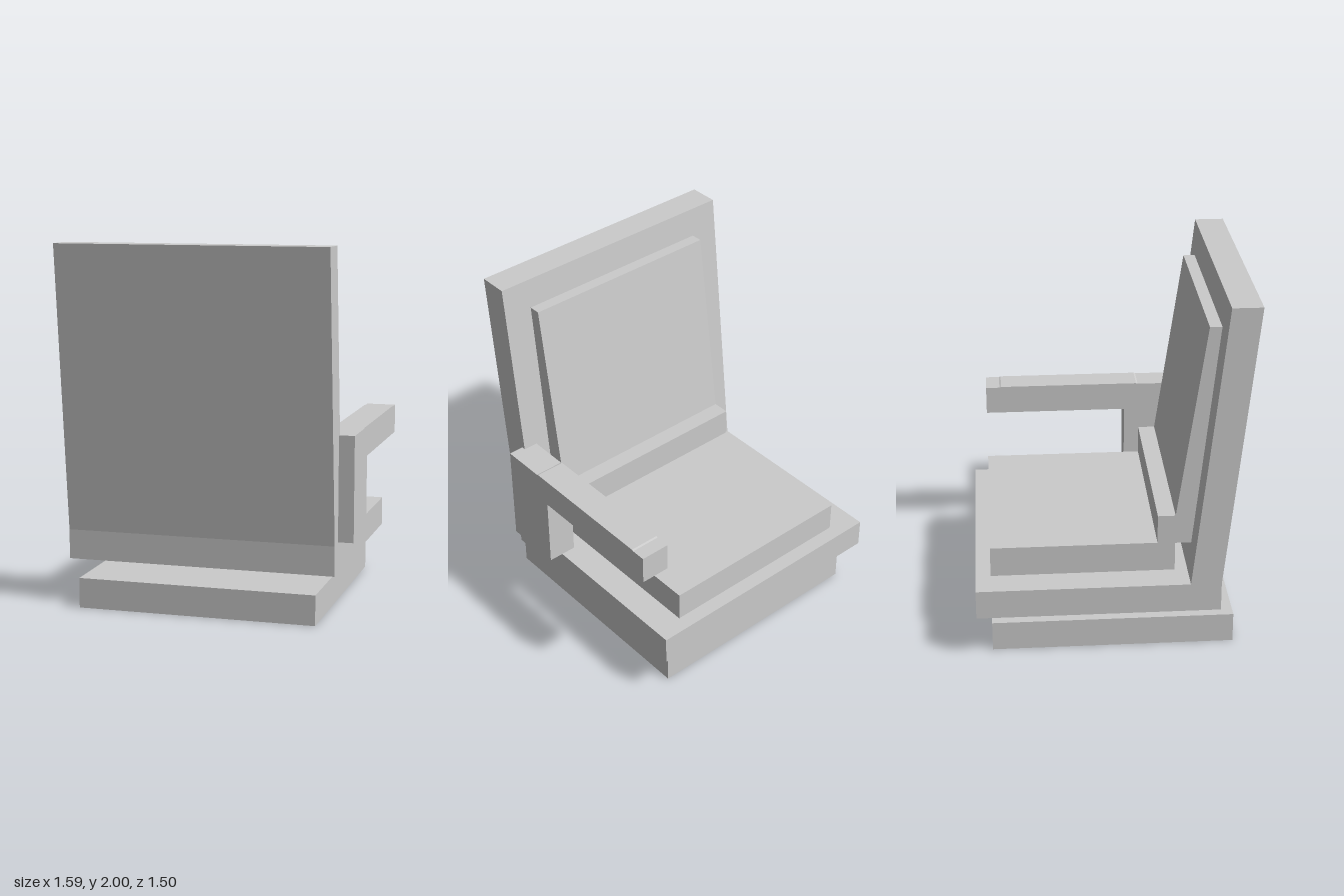
import * as THREE from 'three';

const material = new THREE.MeshStandardMaterial({ color: 0xcccccc, flatShading: true });

// Side profile given as [z, y] points, extruded across the width from x0 to x1.
function profilePart(name, points, x0, x1) {
  const shape = new THREE.Shape(points.map(([z, y]) => new THREE.Vector2(z, y)));
  const geometry = new THREE.ExtrudeGeometry(shape, { depth: x1 - x0, bevelEnabled: false });
  geometry.rotateY(-Math.PI / 2).translate(x1, 0, 0);
  const mesh = new THREE.Mesh(geometry, material);
  mesh.name = name;
  return mesh;
}

function boxPart(name, [x0, x1], [y0, y1], [z0, z1]) {
  const geometry = new THREE.BoxGeometry(x1 - x0, y1 - y0, z1 - z0);
  const mesh = new THREE.Mesh(geometry, material);
  mesh.position.set((x0 + x1) / 2, (y0 + y1) / 2, (z0 + z1) / 2);
  mesh.name = name;
  return mesh;
}

export function createModel() {
  const chair = new THREE.Group();
  chair.name = 'chair';

  // Floor plinth and the short post carrying the seat
  chair.add(boxPart('base', [-0.708, 0.622], [0, 0.167], [-0.665, 0.667]));
  chair.add(boxPart('post', [-0.292, 0.208], [0.167, 0.253], [-0.248, 0.25]));

  // Seat slab and leaning backrest in one L-shaped shell
  chair.add(profilePart('seatAndBackShell', [
    [-0.748, 0.253], [0.583, 0.253], [0.583, 0.417], [0.75, 2],
    [0.587, 2], [0.415, 0.417], [-0.748, 0.417],
  ], -0.795, 0.705));

  // Seat cushion, lumbar step and back cushion
  chair.add(profilePart('cushion', [
    [-0.665, 0.417], [0.345, 0.417], [0.345, 0.583], [0.433, 0.583],
    [0.567, 1.837], [0.502, 1.837], [0.345, 0.75], [0.248, 0.75],
    [0.248, 0.587], [-0.665, 0.587],
  ], -0.625, 0.54));

  // Single armrest: rear upright with a forward-reaching arm
  chair.add(profilePart('armrest', [
    [0.502, 0.422], [0.502, 1], [0.25, 1], [0.24, 1.004], [-0.575, 1.004],
    [-0.585, 1], [-0.665, 1], [-0.665, 0.837], [0.168, 0.837], [0.168, 0.422],
  ], 0.623, 0.79));

  return chair;
}
